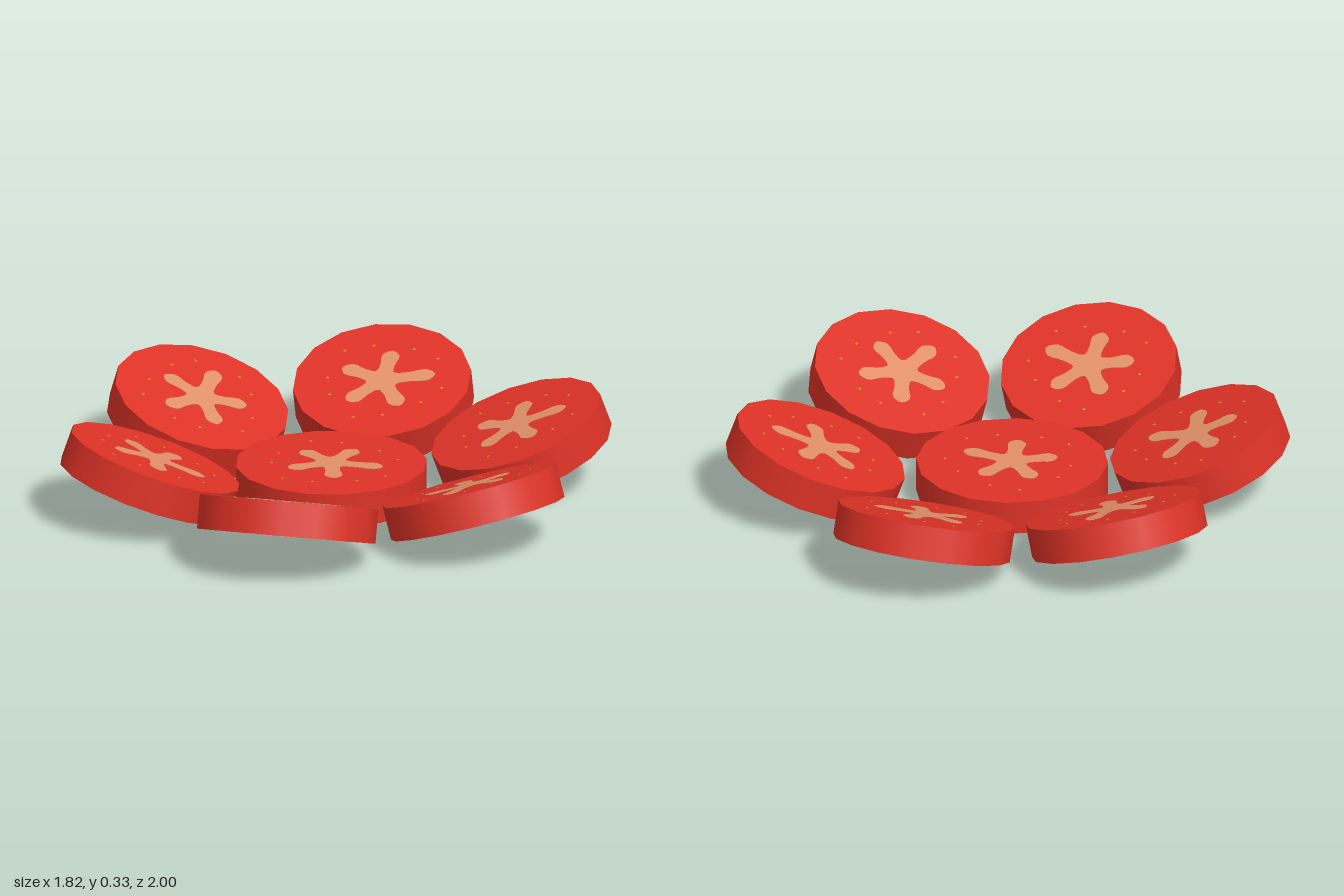
import * as THREE from 'three';

const THICK = 0.122;
const TILT = THREE.MathUtils.degToRad(20);
const rad = THREE.MathUtils.degToRad;

// Five-armed star outline with rounded, slightly swollen arm ends
function starShape() {
  const pts = [];
  for (let i = 0; i < 5; i++) {
    const a = (i / 5) * Math.PI * 2;
    const k = i === 0 ? 1.1 : 0.95;
    const c = Math.cos(a), s = Math.sin(a);
    const arm = [[0.09, -0.026], [0.145, -0.031], [0.172, 0], [0.145, 0.031], [0.09, 0.026]];
    for (const [r, w] of arm) pts.push(new THREE.Vector3(c * r * k - s * w, s * r * k + c * w, 0));
    const v = a + Math.PI / 5;
    pts.push(new THREE.Vector3(Math.cos(v) * 0.056, Math.sin(v) * 0.056, 0));
  }
  const curve = new THREE.CatmullRomCurve3(pts, true);
  return new THREE.Shape(curve.getPoints(90).map(p => new THREE.Vector2(p.x, p.y)));
}

export function createModel() {
  const flesh = new THREE.MeshStandardMaterial({ color: 0xdd3226 });
  flesh.name = 'tomato red';
  const pulp = new THREE.MeshStandardMaterial({ color: 0xe09068 });
  pulp.name = 'pale pulp';
  const gold = new THREE.MeshStandardMaterial({ color: 0xd08a1c });
  gold.name = 'seed gold';

  // The star core runs through the slice and shows on both faces
  const coreDepth = THICK + 0.004;
  const coreGeo = new THREE.ExtrudeGeometry(starShape(), { depth: coreDepth, bevelEnabled: false });
  coreGeo.rotateX(Math.PI / 2).translate(0, coreDepth / 2, 0);
  const seedGeo = new THREE.CylinderGeometry(0.006, 0.006, THICK + 0.003, 6);

  function makeSlice(radius, spin) {
    const slice = new THREE.Group();
    slice.name = 'slice';
    slice.rotation.y = spin;
    const disc = new THREE.Mesh(new THREE.CylinderGeometry(radius, radius, THICK, 16), flesh);
    disc.name = 'sliceFlesh';
    const core = new THREE.Mesh(coreGeo, pulp);
    core.name = 'starCore';
    slice.add(disc, core);
    // Two tiny seeds between each pair of arms
    for (let i = 0; i < 10; i++) {
      const a = rad(36 + Math.floor(i / 2) * 72 + (i % 2 ? 14 : -14));
      const r = radius * (i % 3 ? 0.62 : 0.7);
      const seed = new THREE.Mesh(seedGeo, gold);
      seed.name = 'seed';
      seed.position.set(Math.cos(a) * r, 0, Math.sin(a) * r);
      slice.add(seed);
    }
    return slice;
  }

  const model = new THREE.Group();
  model.name = 'tomatoSlices';

  // Flat middle slice
  const middle = makeSlice(0.34, 0);
  middle.name = 'middleSlice';
  middle.position.set(-0.015, 0.02 + THICK / 2, 0.005);
  model.add(middle);

  // Ring of six slices, tilted up at the outside; each star is turned differently
  const starAngles = [12, 100, -18, -18, -90, 0];
  starAngles.forEach((deg, i) => {
    const yaw = (i * Math.PI) / 3;
    const pivot = new THREE.Group();
    pivot.name = 'ringSlice';
    pivot.rotation.y = yaw;
    const tilt = new THREE.Group();
    tilt.name = 'sliceTilt';
    tilt.position.set(0, 0.166, 0.682);
    tilt.rotation.x = -TILT;
    tilt.add(makeSlice(0.317, -rad(deg) - yaw));
    pivot.add(tilt);
    model.add(pivot);
  });

  return model;
}
